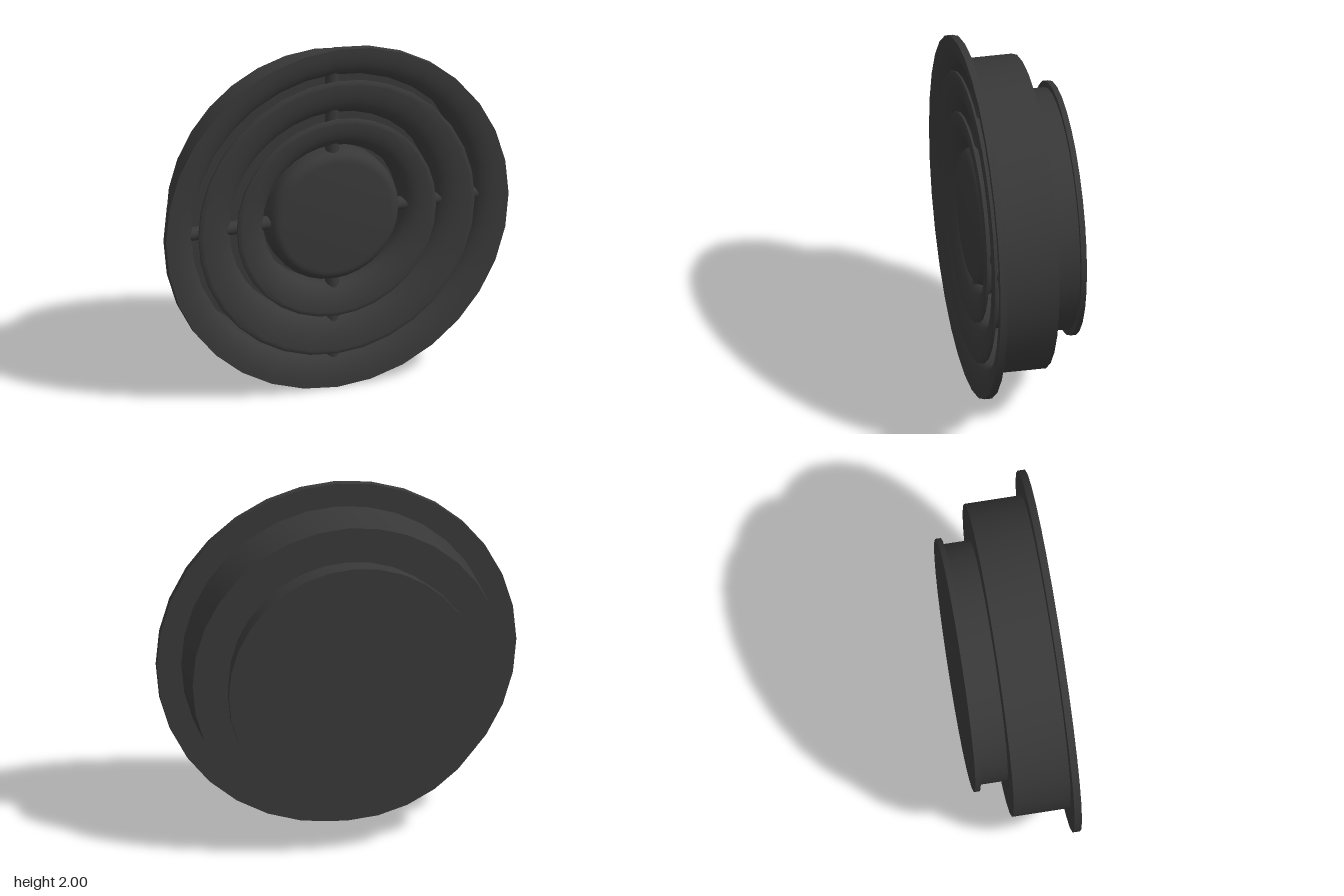
import * as THREE from 'three';
import { toCreasedNormals } from 'three/addons/utils/BufferGeometryUtils.js';

const SIDES = 32;

export function createModel() {
  const model = new THREE.Group();
  model.name = 'roundAirDiffuser';
  const material = new THREE.MeshStandardMaterial({ color: 0x383838, side: THREE.DoubleSide });

  function add(name, geometry) {
    const mesh = new THREE.Mesh(geometry, material);
    mesh.name = name;
    model.add(mesh);
    return mesh;
  }

  // Turns a [radius, z] profile around the z axis
  function turned(name, profile) {
    const points = profile.map(([r, z]) => new THREE.Vector2(r, z));
    const geometry = new THREE.LatheGeometry(points, SIDES).rotateX(Math.PI / 2);
    const mesh = add(name, toCreasedNormals(geometry, 0.6));
    mesh.position.y = 1;
    return mesh;
  }

  // Quarter ellipse from the flat front rim down into the throat
  function flare(rimR, throatR, frontZ, throatZ, steps = 8) {
    return Array.from({ length: steps + 1 }, (_, i) => {
      const a = (i / steps) * Math.PI / 2;
      return [rimR - (rimR - throatR) * Math.sin(a), throatZ + (frontZ - throatZ) * Math.cos(a)];
    });
  }

  // Back cap and neck
  turned('backCap', [[0, -0.27], [0.7, -0.27], [0.7, -0.24], [0, -0.24]]);
  turned('neck', [[0.665, -0.24], [0.665, -0.085]]);

  // Housing with front flange and closed floor
  turned('housing', [
    [0, -0.085], [0.865, -0.085], [0.865, 0.23], [1, 0.23], [1, 0.27],
    ...flare(0.98, 0.825, 0.27, 0.19),
    [0.825, -0.05], [0, -0.05],
  ]);

  // Nested flared rings
  for (const [name, rim, throat] of [['outerRing', 0.805, 0.6], ['innerRing', 0.58, 0.405]]) {
    turned(name, [
      [throat, 0.1], [throat + 0.02, 0.1],
      ...flare(rim, throat + 0.02, 0.25, 0.16).reverse(),
      [rim, 0.262], [rim - 0.015, 0.27],
      ...flare(rim - 0.025, throat, 0.27, 0.18),
      [throat, 0.1],
    ]);
  }

  // Centre disc with rounded front edge
  turned('centreDisc', [
    [0, 0.1], [0.365, 0.1], [0.382, 0.12], [0.382, 0.19],
    ...flare(0.32, 0.382, 0.255, 0.19, 6).reverse(),
    [0, 0.255],
  ]);

  // Crossed support rods
  for (const [name, angle] of [['verticalRod', 0], ['horizontalRod', Math.PI / 2]]) {
    const rod = add(name, new THREE.CylinderGeometry(0.038, 0.038, 1.68, 12));
    rod.rotation.z = angle;
    rod.position.set(0, 1, 0.19);
  }

  return model;
}
